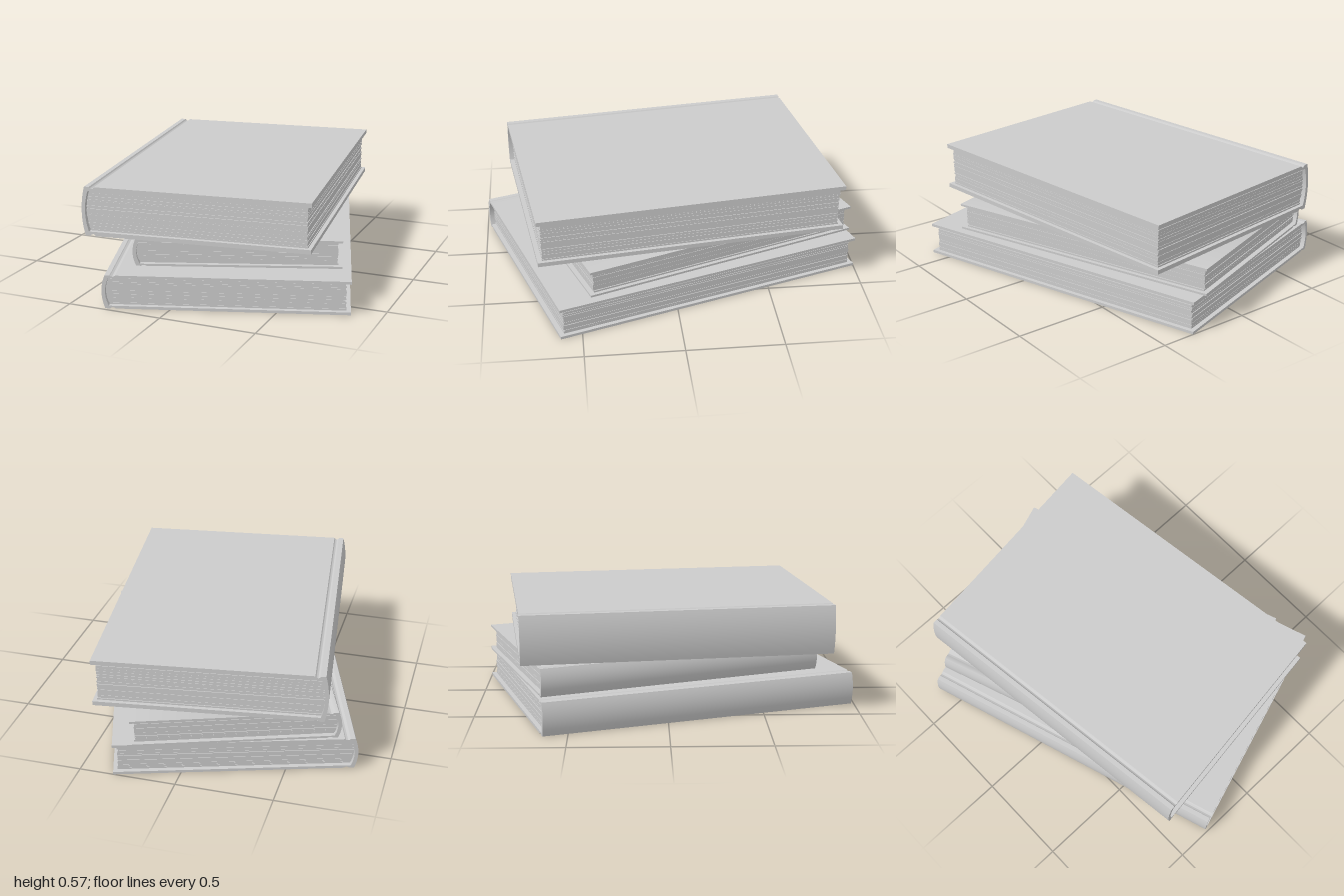
import * as THREE from 'three';
import { mergeGeometries, toCreasedNormals } from 'three/addons/utils/BufferGeometryUtils.js';

const material = new THREE.MeshStandardMaterial({ color: 0xcccccc });
const BULGE = 0.017;  // how far the spine bows out
const SPINE = 0.018;  // spine thickness
const GROOVE = 0.056; // distance from spine to hinge groove

function seeded(seed) {
  return () => (seed = (seed * 16807) % 2147483647) / 2147483647;
}

// Hardcover: C-shaped profile with a bowed spine and hinge grooves
function makeCover({ width, height, length, board }) {
  const w = width / 2, g = -w + GROOVE, r = 0.014, dip = board * 0.9;
  const s = new THREE.Shape();
  s.moveTo(w, 0);
  s.lineTo(g + r, 0);
  s.quadraticCurveTo(g, dip, g - r, 0);
  s.lineTo(-w + BULGE, 0);
  s.quadraticCurveTo(-w - BULGE, height / 2, -w + BULGE, height);
  s.lineTo(g - r, height);
  s.quadraticCurveTo(g, height - dip, g + r, height);
  s.lineTo(w, height);
  s.lineTo(w, height - board);
  s.lineTo(-w + BULGE + SPINE, height - board);
  s.quadraticCurveTo(-w - BULGE + SPINE, height / 2, -w + BULGE + SPINE, board);
  s.lineTo(w, board);
  s.closePath();
  const geo = new THREE.ExtrudeGeometry(s, { depth: length, bevelEnabled: false, curveSegments: 14 });
  geo.translate(0, 0, -length / 2);
  return toCreasedNormals(geo, 0.6);
}

// Page block: stacked sheets with slightly uneven edges, following the bowed spine
function makePages({ width, height, length, board, inset, sheets, seed }) {
  const random = seeded(seed), w = width / 2;
  const step = (height - 2 * board) / sheets;
  const parts = [];
  for (let i = 0; i < sheets; i++) {
    const t = (2 * (i + 0.5)) / sheets - 1;
    const left = -w + SPINE + BULGE * t * t;
    const right = w - inset - random() * 0.006;
    const front = length / 2 - inset - random() * 0.006;
    const back = -length / 2 + inset + random() * 0.006;
    const sheet = new THREE.BoxGeometry(right - left, step, front - back);
    sheet.translate((left + right) / 2, board + (i + 0.5) * step, (front + back) / 2);
    parts.push(sheet);
  }
  return mergeGeometries(parts);
}

function makeBook(spec) {
  const book = new THREE.Group();
  book.name = spec.name;
  const cover = new THREE.Mesh(makeCover(spec), material);
  cover.name = 'cover';
  const pages = new THREE.Mesh(makePages(spec), material);
  pages.name = 'pages';
  book.add(cover, pages);
  book.position.set(spec.x, spec.y, spec.z);
  book.rotation.y = spec.turn;
  return book;
}

export function createModel() {
  const model = new THREE.Group();
  model.name = 'bookStack';
  const books = [
    { name: 'bottomBook', width: 1.23, height: 0.173, length: 1.693, board: 0.014, inset: 0.022,
      sheets: 16, seed: 11, x: 0, y: 0, z: -0.005, turn: 0.315 },
    { name: 'middleBook', width: 1.052, height: 0.145, length: 1.526, board: 0.011, inset: 0.02,
      sheets: 14, seed: 37, x: -0.005, y: 0.174, z: -0.09, turn: 0.346 },
    { name: 'topBook', width: 1.172, height: 0.255, length: 1.609, board: 0.022, inset: 0.02,
      sheets: 26, seed: 73, x: -0.018, y: 0.32, z: -0.015, turn: 0.132 },
  ];
  for (const spec of books) model.add(makeBook(spec));
  return model;
}
